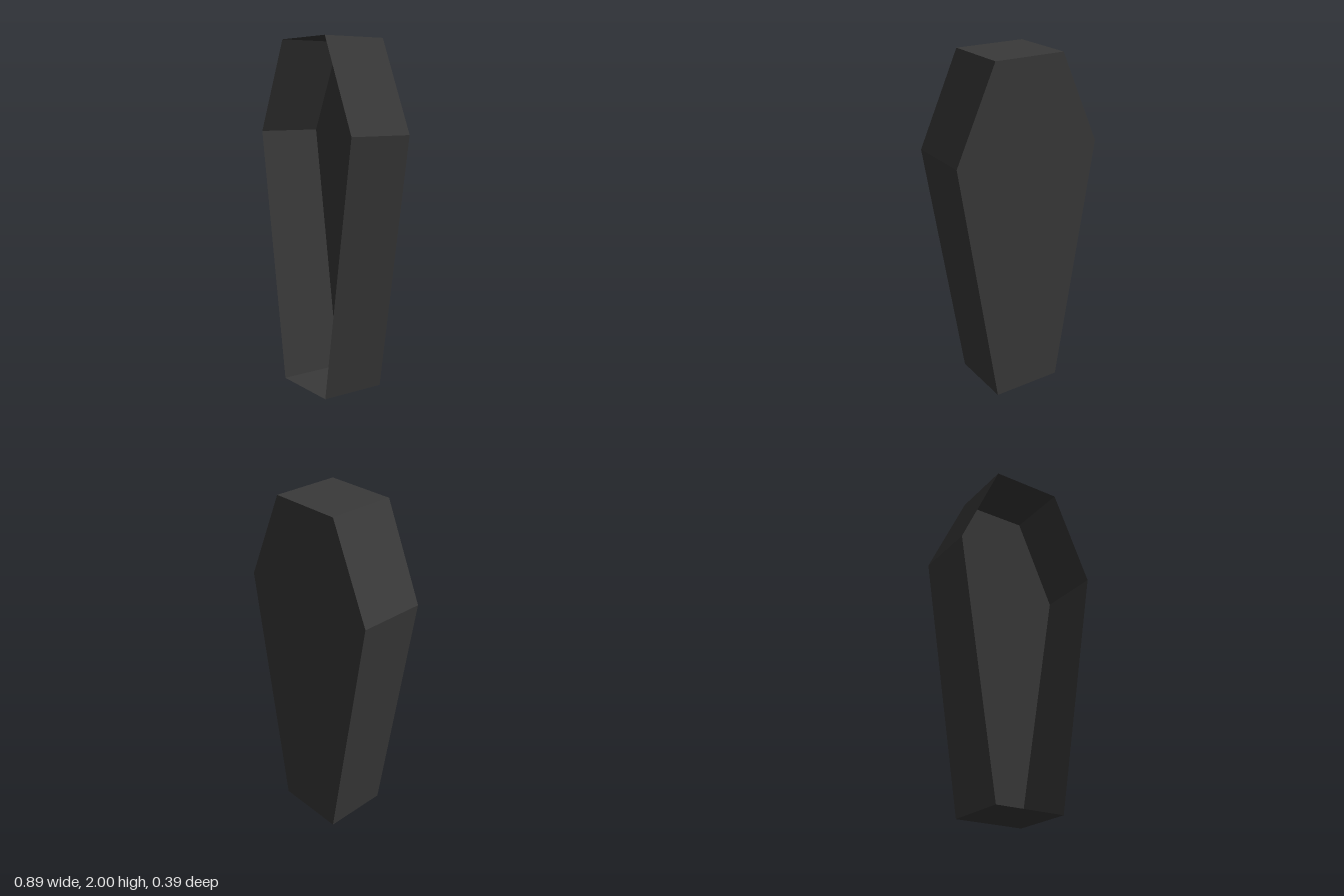
import * as THREE from 'three';

const HALF_DEPTH = 0.195;

export function createModel() {
  const model = new THREE.Group();
  model.name = 'openCoffin';

  const material = new THREE.MeshStandardMaterial({
    color: 0x3a3a3a, flatShading: true, side: THREE.DoubleSide,
  });

  const add = (geometry, name) => {
    const mesh = new THREE.Mesh(geometry, material);
    mesh.name = name;
    model.add(mesh);
  };

  // Six-sided outline, counter-clockwise seen from the front
  const outline = [
    [-0.21, 0], [0.21, 0], [0.447, 1.475],
    [0.21, 2], [-0.21, 2], [-0.447, 1.475],
  ].map(([x, y]) => new THREE.Vector2(x, y));

  // Back panel, facing outwards; the front stays open
  const back = new THREE.ShapeGeometry(new THREE.Shape(outline));
  back.rotateY(Math.PI);
  back.translate(0, 0, -HALF_DEPTH);
  add(back, 'backPanel');

  // One thin wall along each edge of the outline
  const wallNames = [
    'footWall', 'lowerLeftWall', 'upperLeftWall',
    'headWall', 'upperRightWall', 'lowerRightWall',
  ];
  wallNames.forEach((name, i) => {
    const a = outline[i];
    const b = outline[(i + 1) % outline.length];
    const wall = new THREE.BufferGeometry().setFromPoints([
      new THREE.Vector3(a.x, a.y, -HALF_DEPTH),
      new THREE.Vector3(b.x, b.y, -HALF_DEPTH),
      new THREE.Vector3(b.x, b.y, HALF_DEPTH),
      new THREE.Vector3(a.x, a.y, HALF_DEPTH),
    ]);
    wall.setIndex([0, 1, 2, 0, 2, 3]);
    wall.computeVertexNormals();
    add(wall, name);
  });

  return model;
}
